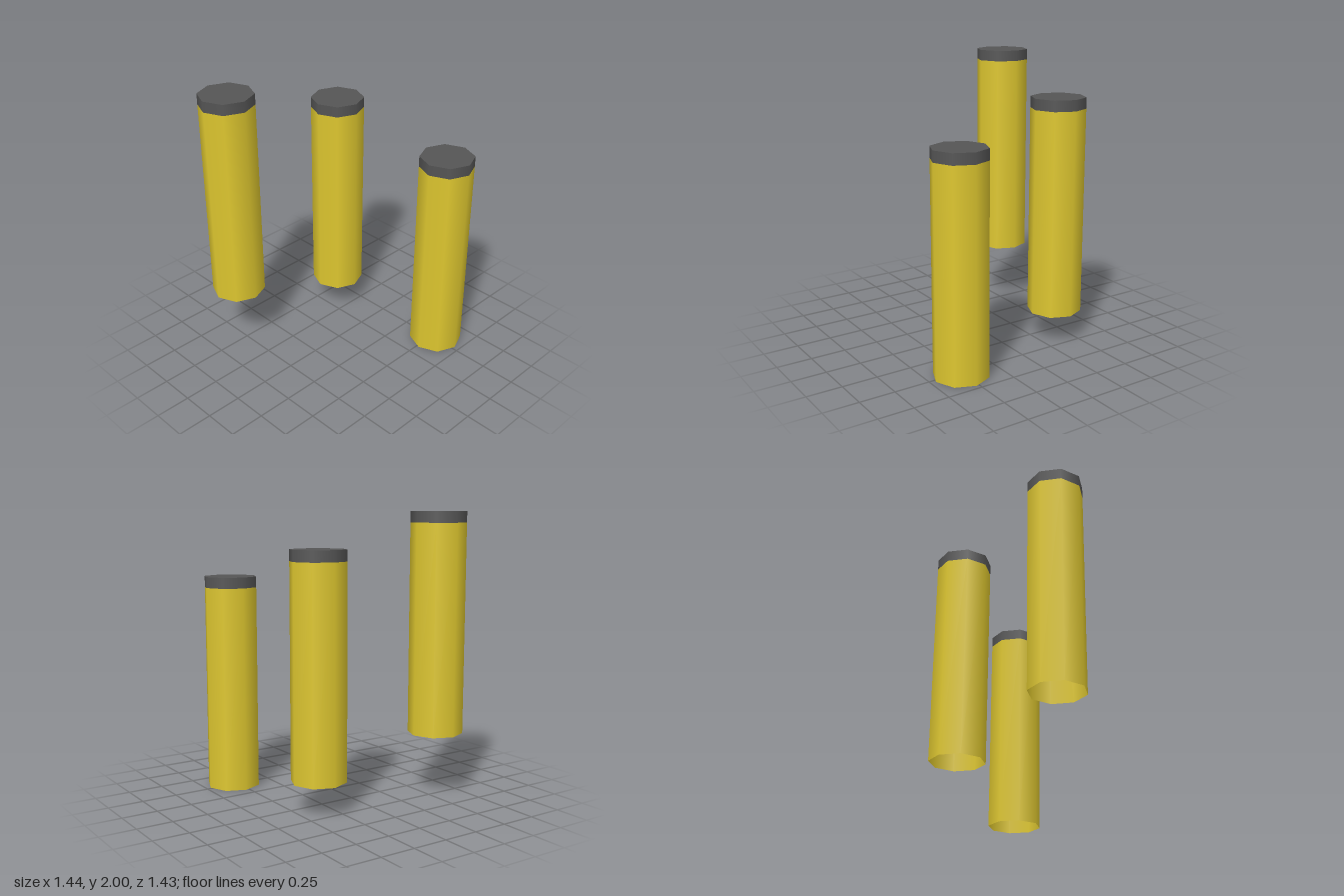
import * as THREE from 'three';

const RADIUS = 0.192, HEIGHT = 1.54, CAP = 0.077, SIDES = 8;

// One hollow octagonal post, open at the bottom, with a dark cap
function createPost(name, x, y, z) {
  const post = new THREE.Group();
  post.name = name;
  post.position.set(x, y, z);

  const bodyHeight = HEIGHT - CAP;
  const body = new THREE.Mesh(
    new THREE.CylinderGeometry(RADIUS, RADIUS, bodyHeight, SIDES, 1, true),
    new THREE.MeshStandardMaterial({ color: 0xdec72f, side: THREE.DoubleSide })
  );
  body.name = 'postBody';
  body.position.y = bodyHeight / 2;

  const dark = new THREE.MeshStandardMaterial({ color: 0x555555, side: THREE.DoubleSide });
  const rim = new THREE.Mesh(new THREE.CylinderGeometry(RADIUS, RADIUS, CAP, SIDES, 1, true), dark);
  rim.name = 'capRim';
  rim.position.y = HEIGHT - CAP / 2;

  const top = new THREE.Mesh(new THREE.CircleGeometry(RADIUS, SIDES).rotateX(-Math.PI / 2), dark);
  top.name = 'capTop';
  top.position.y = HEIGHT;

  post.add(body, rim, top);
  return post;
}

export function createModel() {
  const model = new THREE.Group();
  model.name = 'steppedPosts';
  model.add(
    createPost('tallPost', -0.527, 0.46, -0.523),
    createPost('middlePost', 0.36, 0.217, -0.378),
    createPost('lowPost', 0.525, 0, 0.52)
  );
  return model;
}
